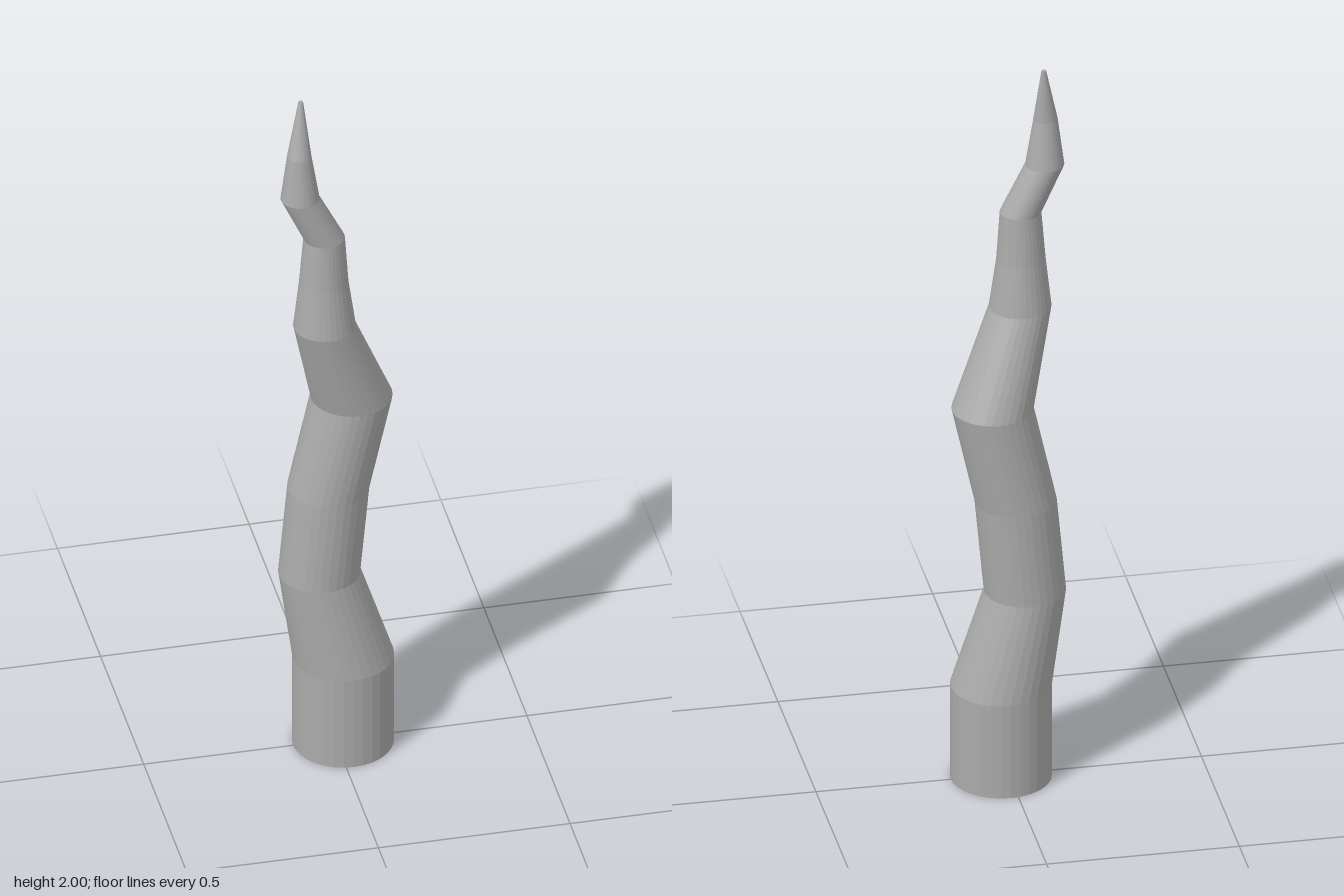
import * as THREE from 'three';

// Level rings up the horn: height, centre x, centre z, radius
const RINGS = [
  [0, 0.02, 0, 0.13],
  [0.265, 0.02, 0, 0.13],
  [0.53, -0.042, 0, 0.105],
  [0.79, -0.018, 0, 0.105],
  [1.06, 0.042, 0, 0.105],
  [1.32, -0.04, 0.052, 0.08],
  [1.455, -0.042, 0.052, 0.063],
  [1.59, -0.041, 0.052, 0.053],
  [1.72, -0.104, 0.053, 0.05],
  [1.85, -0.106, 0.053, 0.031],
  [2, -0.097, 0.03, 0.006],
];
const SIDES = 32;

// Skin the rings into one closed, faceted surface
function loft(rings, sides) {
  const positions = [];
  const index = [];
  for (const [y, cx, cz, r] of rings) {
    for (let i = 0; i < sides; i++) {
      const a = (i / sides) * Math.PI * 2;
      positions.push(cx + r * Math.sin(a), y, cz + r * Math.cos(a));
    }
  }
  for (let k = 0; k < rings.length - 1; k++) {
    for (let i = 0; i < sides; i++) {
      const j = (i + 1) % sides;
      const a = k * sides + i, b = k * sides + j;
      index.push(a, b, b + sides, a, b + sides, a + sides);
    }
  }
  // Flat caps at the base and the tip
  const top = (rings.length - 1) * sides;
  for (let i = 1; i < sides - 1; i++) {
    index.push(0, i + 1, i);
    index.push(top, top + i, top + i + 1);
  }
  const geometry = new THREE.BufferGeometry();
  geometry.setAttribute('position', new THREE.Float32BufferAttribute(positions, 3));
  geometry.setIndex(index);
  const faceted = geometry.toNonIndexed();
  faceted.computeVertexNormals();
  return faceted;
}

export function createModel() {
  const group = new THREE.Group();
  group.name = 'crookedHorn';

  const grey = new THREE.MeshStandardMaterial({ color: 0xaaaaaa, flatShading: true });
  grey.name = 'grey';

  const horn = new THREE.Mesh(loft(RINGS, SIDES), grey);
  horn.name = 'horn';
  group.add(horn);
  return group;
}
